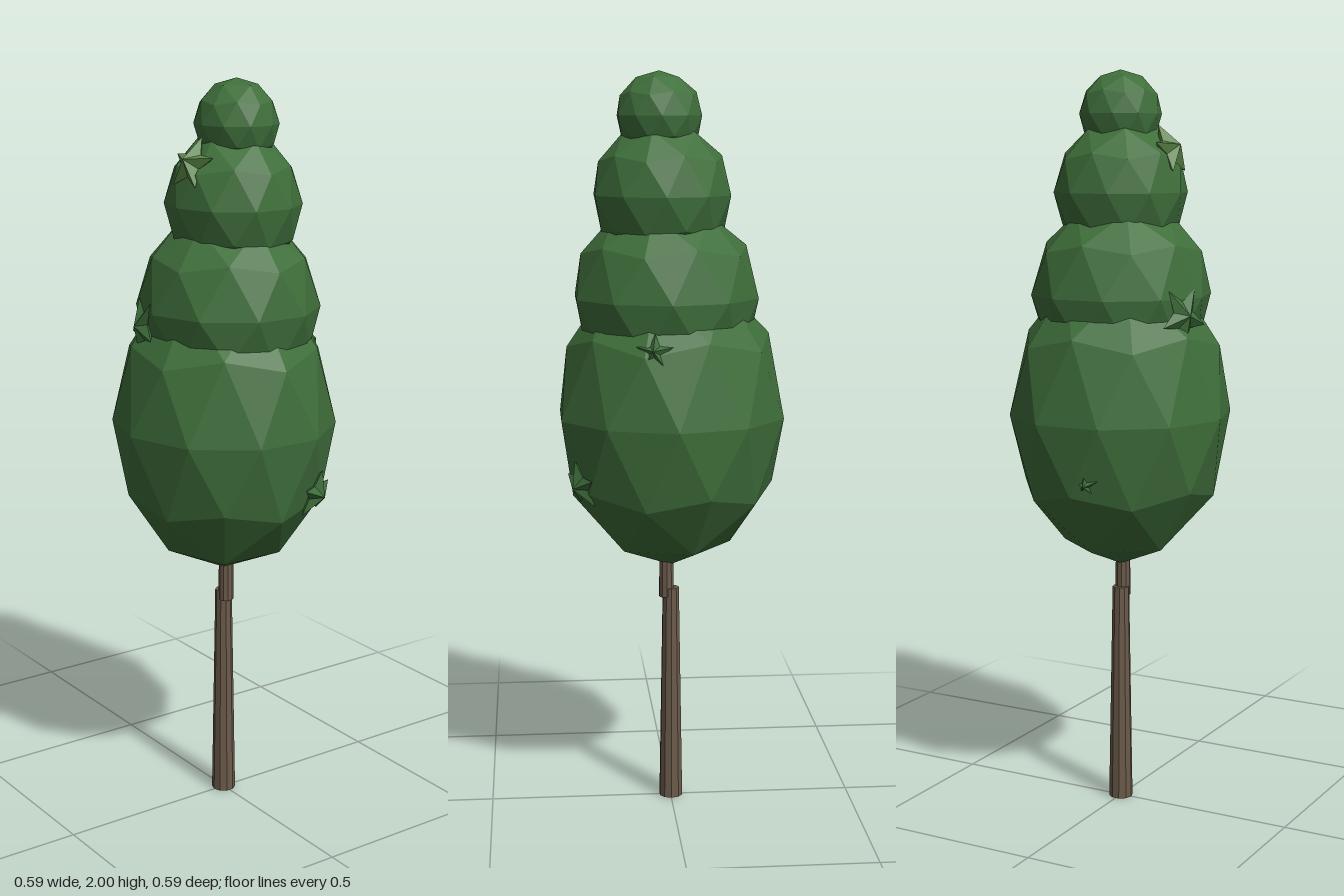
import * as THREE from 'three';

const mat = (color) => new THREE.MeshStandardMaterial({ color, flatShading: true, side: THREE.DoubleSide });
const leafMat = mat(0x3f6f3b);
const tuftMat = mat(0x5a8646);
const barkMat = mat(0x6b5a4a);

export function createModel() {
  const tree = new THREE.Group();
  tree.name = 'tree';

  const add = (name, geometry, material, x, y, z) => {
    const mesh = new THREE.Mesh(geometry, material);
    mesh.name = name;
    mesh.position.set(x, y, z);
    tree.add(mesh);
    return mesh;
  };

  // Trunk: tapered lower post and a thinner, slightly offset upper post
  add('lowerTrunk', new THREE.CylinderGeometry(0.023, 0.033, 0.605, 10), barkMat, -0.001, 0.3025, 0);
  add('upperTrunk', new THREE.CylinderGeometry(0.018, 0.021, 0.3, 10), barkMat, 0.011, 0.73, 0);

  // Foliage: stacked faceted balls with a corner at each pole, leaning as they rise
  // [x, y, z, radiusX, radiusY, radiusZ]
  const balls = [
    [0, 1.09, 0, 0.312, 0.42, 0.297],
    [0.013, 1.41, -0.005, 0.253, 0.26, 0.24],
    [0.024, 1.68, -0.013, 0.187, 0.195, 0.178],
    [0.031, 1.885, -0.018, 0.115, 0.115, 0.109],
  ];
  const poleTilt = -Math.atan(2 / (1 + Math.sqrt(5)));
  balls.forEach(([x, y, z, rx, ry, rz], i) => {
    const ball = new THREE.IcosahedronGeometry(1, 1).rotateZ(poleTilt).scale(rx, ry, rz);
    add('foliageBall' + (i + 1), ball, leafMat, x, y, z);
  });

  // Leaf tufts: five-pointed stars with a raised centre, facing outwards
  const starTuft = (radius, depth) => {
    const rim = [];
    for (let i = 0; i < 10; i++) {
      const r = i % 2 ? radius * 0.45 : radius;
      const a = Math.PI / 2 + (i * Math.PI) / 5;
      rim.push([r * Math.cos(a), r * Math.sin(a), 0]);
    }
    const points = [];
    rim.forEach((p, i) => {
      const q = rim[(i + 1) % 10];
      points.push(...p, ...q, 0, 0, depth, ...q, ...p, 0, 0, -depth);
    });
    const geometry = new THREE.BufferGeometry();
    geometry.setAttribute('position', new THREE.Float32BufferAttribute(points, 3));
    geometry.computeVertexNormals();
    return geometry;
  };

  // [position, facing direction, radius, depth, roll, material]
  const tufts = [
    [[0.038, 1.79, 0.125], [0.1, 0.5, 1], 0.075, 0.035, 0, tuftMat],
    [[-0.06, 1.365, 0.217], [-0.28, 0.1, 1], 0.085, 0.025, Math.PI, leafMat],
    [[0.245, 0.925, -0.125], [1, -0.35, -0.5], 0.07, 0.03, 0, leafMat],
    [[0.06, 1.29, -0.238], [0.2, 0.3, -1], 0.05, 0.025, 0, leafMat],
    [[-0.265, 0.94, 0.04], [-1, -0.3, 0.15], 0.04, 0.02, 0, leafMat],
  ];
  tufts.forEach(([p, d, radius, depth, roll, material], i) => {
    const tuft = add('leafTuft' + (i + 1), starTuft(radius, depth), material, ...p);
    tuft.lookAt(p[0] + d[0], p[1] + d[1], p[2] + d[2]);
    tuft.rotateZ(roll);
  });

  return tree;
}
